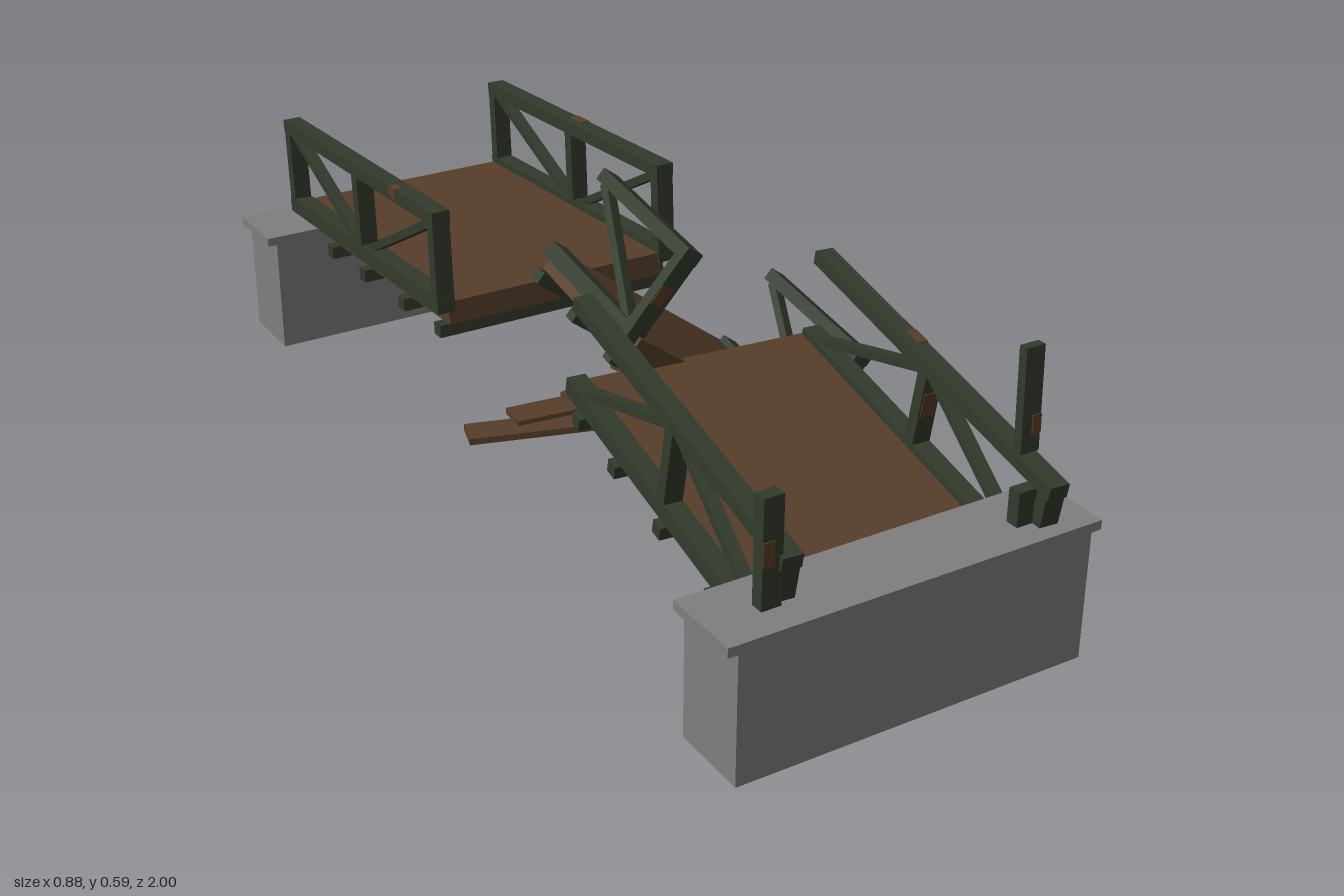
import * as THREE from 'three';

const mat = (name, color, side = THREE.FrontSide) => {
  const m = new THREE.MeshStandardMaterial({ color, side });
  m.name = name;
  return m;
};

export function createModel() {
  const concrete = mat('concrete', 0x7f7f7f, THREE.DoubleSide);
  const wood = mat('wood', 0x573f2a);
  const steel = mat('paintedSteel', 0x323a2c);
  const rust = mat('rust', 0x5a3d28);
  const model = new THREE.Group();
  model.name = 'brokenBridge';

  const box = (parent, name, material, size, pos) => {
    const mesh = new THREE.Mesh(new THREE.BoxGeometry(...size), material);
    mesh.name = name;
    mesh.position.set(...pos);
    parent.add(mesh);
    return mesh;
  };

  // Straight member in a truss plane, from [y, z] to [y, z]
  const beam = (parent, name, [y0, z0], [y1, z1], width, thick) => {
    const dy = y1 - y0, dz = z1 - z0;
    const b = box(parent, name, steel, [width, thick, Math.hypot(dy, dz)],
      [0, (y0 + y1) / 2, (z0 + z1) / 2]);
    b.rotation.x = -Math.atan2(dy, dz);
  };

  // One bridge section: local y = 0 is the top of the deck
  const LOW = 0, HIGH = 0.165, HALF = 0.252;
  const section = (name, { length, deck, joists, posts, diagonals, patches, pos, rot }) => {
    const g = new THREE.Group();
    g.name = name;
    g.position.set(...pos);
    g.rotation.set(...rot);
    model.add(g);
    box(g, 'deck', wood, [0.49, 0.048, deck], [0, -0.024, 0]);
    for (const z of joists) box(g, 'joist', steel, [0.53, 0.026, 0.028], [0, -0.06, z]);
    for (const side of [-1, 1]) {
      const truss = new THREE.Group();
      truss.name = side > 0 ? 'leftTruss' : 'rightTruss';
      truss.position.x = side * HALF;
      g.add(truss);
      box(truss, 'bottomChord', steel, [0.038, 0.034, length], [0, -0.003, 0]);
      box(truss, 'topChord', steel, [0.038, 0.027, length], [0, 0.1765, 0]);
      for (const z of posts) box(truss, 'post', steel, [0.037, 0.17, 0.026], [0, 0.085, z]);
      for (const [a, b] of diagonals) beam(truss, 'diagonal', a, b, 0.024, 0.017);
    }
    // Thin rust wraps on the outer edge of the top chords
    for (const [side, z, len] of patches)
      box(g, 'rustPatch', rust, [0.02, 0.02, len], [side * (HALF + 0.0105), 0.1815, z]);
    return g;
  };

  section('backSection', {
    length: 0.755, deck: 0.745,
    joists: [-0.355, -0.18, -0.01, 0.185, 0.355],
    posts: [-0.363, 0, 0.363],
    diagonals: [[[HIGH, 0.355], [LOW, 0.01]], [[HIGH, -0.355], [LOW, -0.01]]],
    patches: [[1, 0.005, 0.05], [-1, 0.195, 0.03]],
    pos: [-0.071, 0.319, -0.567], rot: [-0.053, 0, 0],
  });

  const front = section('frontSection', {
    length: 0.76, deck: 0.765,
    joists: [-0.34, -0.19, -0.01, 0.18, 0.345],
    posts: [0, 0.363],
    diagonals: [[[HIGH, 0.01], [LOW, 0.355]], [[HIGH, -0.01], [LOW, -0.355]]],
    patches: [[1, -0.07, 0.04]],
    pos: [-0.014, 0.233, 0.564], rot: [0.18, -0.07, 0],
  });
  box(front, 'rustPatch', rust, [0.03, 0.05, 0.003], [HALF, 0.1, 0.0135]);

  const middle = section('fallenMiddleSection', {
    length: 0.365, deck: 0.383,
    joists: [-0.165, 0, 0.165],
    posts: [0.168],
    diagonals: [[[LOW, 0.16], [HIGH, -0.165]]],
    patches: [],
    pos: [0.1, 0.24, 0.01], rot: [0.09, -0.08, -0.64],
  });
  box(middle, 'rustPatch', rust, [0.026, 0.04, 0.003], [-HALF - 0.004, 0.085, 0.1815]);

  // Hollow abutments, open underneath, with a cap that overhangs at the sides
  for (const end of [-1, 1]) {
    const g = new THREE.Group();
    g.name = end > 0 ? 'frontAbutment' : 'backAbutment';
    g.position.set(-0.07, 0, end * 0.922);
    model.add(g);
    const shell = box(g, 'body', concrete, [0.7, 0.247, 0.154], [0, 0.1235, 0]).geometry;
    const faces = Array.from(shell.index.array);
    faces.splice(18, 6);
    shell.setIndex(faces);
    shell.clearGroups();
    box(g, 'cap', concrete, [0.74, 0.018, 0.156], [0, 0.256, 0]);
  }

  // Broken end posts left standing at the front, with rust spots
  box(model, 'brokenPost', steel, [0.038, 0.2, 0.026], [-0.323, 0.365, 0.93]);
  box(model, 'rustPatch', rust, [0.022, 0.045, 0.003], [-0.331, 0.365, 0.9435]);
  box(model, 'postStub', steel, [0.038, 0.07, 0.026], [0.18, 0.295, 0.935]);
  const snapped = box(model, 'snappedPost', steel, [0.038, 0.19, 0.018], [0.18, 0.493, 0.93]);
  snapped.rotation.x = -0.03;
  box(snapped, 'rustPatch', rust, [0.018, 0.035, 0.003], [0.01, -0.045, 0.0095]);

  // Loose planks fallen below the gap
  const planks = [
    [0.25, 0.22, 0.068, -0.262, 0.21],
    [0.3, 0.1, 0.051, -0.213, 0.11],
    [0.3, -0.03, 0.043, -0.19, -0.1],
    [0.29, -0.145, 0.033, -0.162, -0.29],
  ];
  for (const [len, x, y, z, yaw] of planks)
    box(model, 'loosePlank', wood, [len, 0.014, 0.068], [x, y, z]).rotation.y = yaw;

  return model;
}
